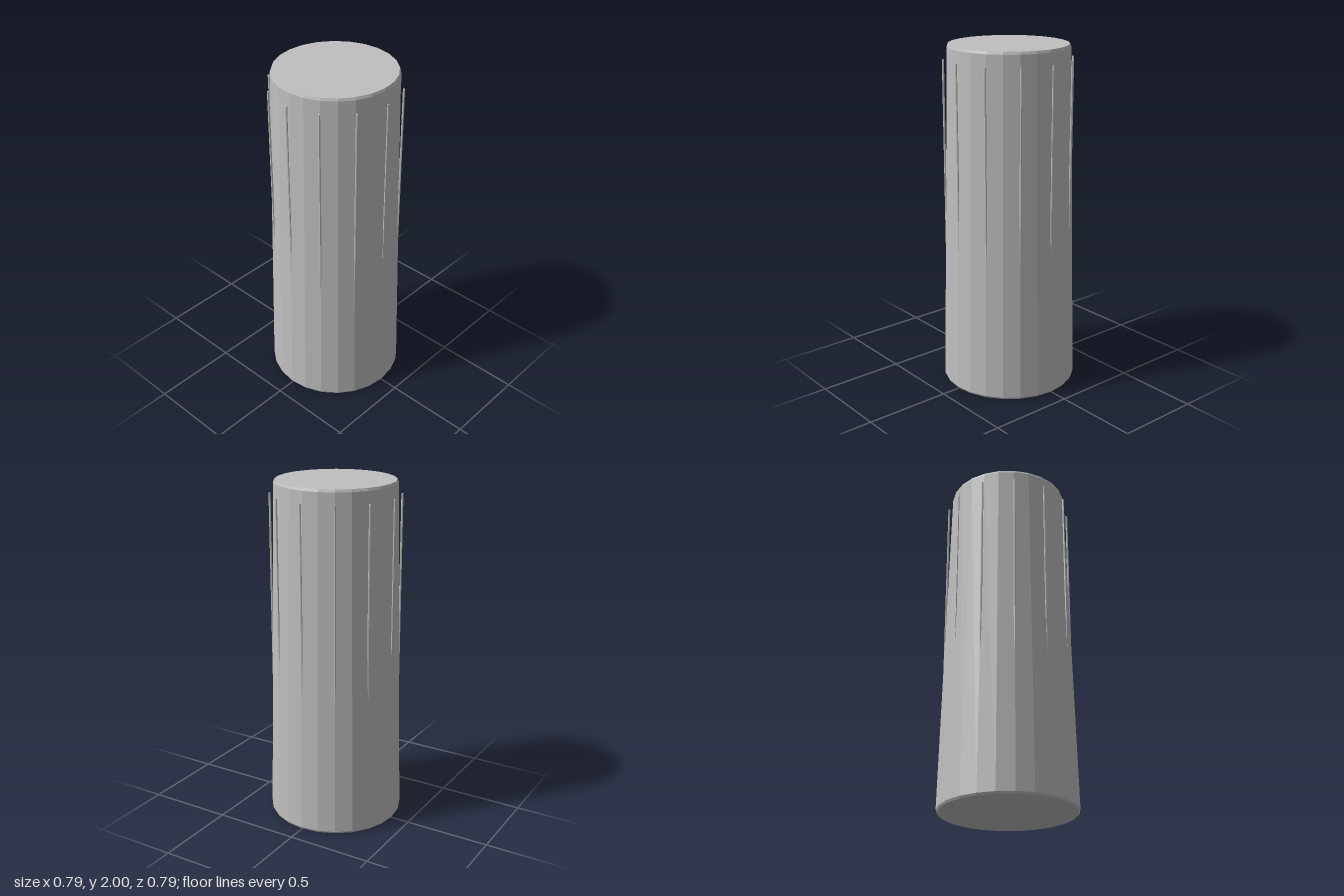
import * as THREE from 'three';

export function createModel() {
  const model = new THREE.Group();
  model.name = 'flutedColumn';

  const stone = new THREE.MeshStandardMaterial({ color: 0xbfbfbf });
  stone.name = 'pale grey';
  stone.flatShading = true;

  // Tapered 24-sided shaft with a small bevel at both rims
  const profile = [
    [0, 0], [0.386, 0], [0.393, 0.012],
    [0.346, 1.985], [0.34, 2], [0, 2],
  ].map(([r, y]) => new THREE.Vector2(r, y));
  const shaft = new THREE.Mesh(new THREE.LatheGeometry(profile, 24), stone);
  shaft.name = 'shaft';
  model.add(shaft);

  // Twelve thin upright rods that sink into the widening shaft
  const ribs = new THREE.Group();
  ribs.name = 'ribs';
  const bottom = 0.08, top = 1.92, ringRadius = 0.368;
  const ribGeometry = new THREE.CylinderGeometry(0.006, 0.006, top - bottom, 6);
  for (let i = 0; i < 12; i++) {
    const angle = (i / 12) * Math.PI * 2;
    const rib = new THREE.Mesh(ribGeometry, stone);
    rib.name = 'rib' + (i + 1);
    rib.position.set(Math.sin(angle) * ringRadius, (top + bottom) / 2, Math.cos(angle) * ringRadius);
    rib.rotation.y = angle;
    ribs.add(rib);
  }
  model.add(ribs);

  return model;
}
